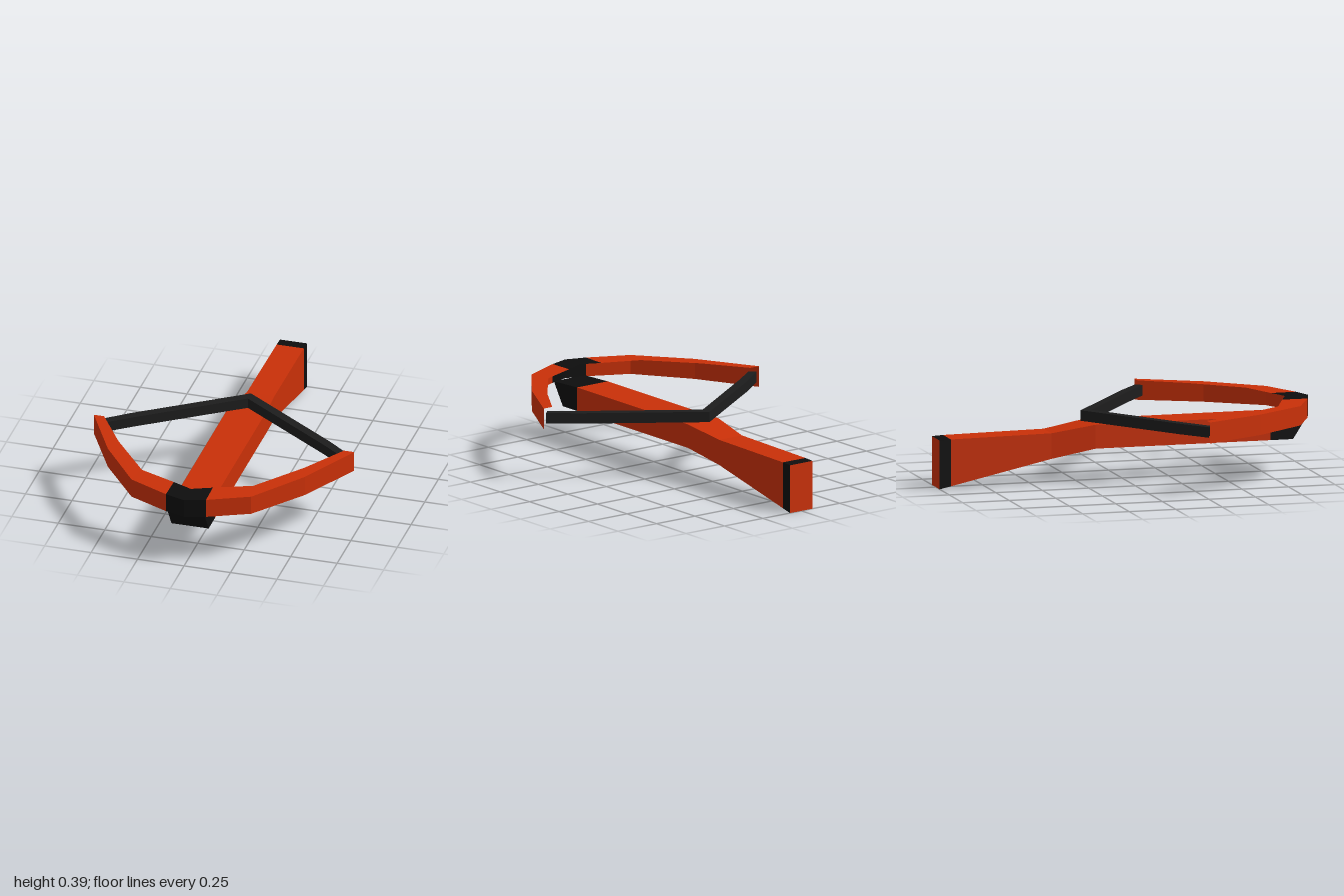
import * as THREE from 'three';

const paint = (color) =>
  new THREE.MeshStandardMaterial({ color, flatShading: true, side: THREE.DoubleSide });

// Joins open cross-sections, each a row of points, with flat quads
function loft(sections) {
  const pos = [];
  for (let i = 0; i < sections.length - 1; i++) {
    const s = sections[i], t = sections[i + 1];
    for (let k = 0; k < s.length - 1; k++) {
      for (const p of [s[k], s[k + 1], t[k + 1], s[k], t[k + 1], t[k]]) pos.push(...p);
    }
  }
  const geo = new THREE.BufferGeometry();
  geo.setAttribute('position', new THREE.Float32BufferAttribute(pos, 3));
  geo.computeVertexNormals();
  return geo;
}

// Stock section: two sides and a top, open underneath, running towards +z
const channel = ([z, w, bottom, top, zBottom = z]) =>
  [[w, bottom, zBottom], [w, top, z], [-w, top, z], [-w, bottom, zBottom]];

// Bow section: a top and an outer wall, running towards +x
const angle = ([x1, z1, x2, z2, bottom, top]) =>
  [[x1, top, z1], [x2, top, z2], [x2, bottom, z2]];

// String section: back, top and front, running towards +x
const gutter = ([x1, z1, x2, z2, bottom, top]) =>
  [[x1, bottom, z1], [x1, top, z1], [x2, top, z2], [x2, bottom, z2]];

// Mirrors a row of bow or string stations to the other side
const mirrored = (row) => row.map(([a, b, c, ...rest]) => [-a, b, -c, ...rest]).reverse();

export function createModel() {
  const group = new THREE.Group();
  const orange = paint(0xc93008), black = paint(0x0e0e0e), grey = paint(0x1d1d1d);
  const add = (name, geo, mat) => {
    const mesh = new THREE.Mesh(geo, mat);
    mesh.name = name;
    group.add(mesh);
  };

  // Stock: straight fore-end, narrowing and dropping to the butt
  const butt = [-1, 0.073, 0, 0.255], band = [-0.94, 0.073, 0.013, 0.258];
  add('stock', loft([
    band,
    [-0.4, 0.074, 0.131, 0.265],
    [-0.17, 0.1, 0.178, 0.303],
    [0.77, 0.1, 0.178, 0.303],
  ].map(channel)), orange);
  add('buttBand', loft([butt, band].map(channel)), black);
  add('buttFace', loft([
    [[0.073, 0, -1], [-0.073, 0, -1]],
    [[0.073, 0.255, -1], [-0.073, 0.255, -1]],
  ]), orange);

  // Nose with a front that slants back towards the bottom
  add('nose', loft([
    [0.77, 0.1, 0.178, 0.303],
    [0.965, 0.1, 0.178, 0.295, 0.89],
  ].map(channel)), black);
  add('noseFront', loft([
    [[-0.1, 0.178, 0.89], [0.1, 0.178, 0.89]],
    [[-0.1, 0.295, 0.965], [0.1, 0.295, 0.965]],
  ]), black);

  // Bow stations: inner x, z, outer x, z, bottom, top
  const joint = [0.105, 0.83, 0.108, 0.965, 0.288, 0.388];
  const centre = [0, 0.875, 0, 1, 0.288, 0.388];
  add('bowCentre', loft([...mirrored([joint]), centre, joint].map(angle)), black);
  const limb = [
    joint,
    [0.3, 0.752, 0.322, 0.866, 0.287, 0.388],
    [0.5, 0.5, 0.53, 0.592, 0.284, 0.391],
    [0.645, 0.27, 0.7, 0.27, 0.282, 0.392],
  ];
  add('leftLimb', loft(limb.map(angle)), orange);
  add('rightLimb', loft(mirrored(limb).map(angle)), orange);

  // Drawn string, bent at the middle, its ends tucked under the limb tips
  const strand = [
    [0.535, 0.152, 0.51, 0.192, 0.31, 0.365],
    [0.685, 0.27, 0.655, 0.3, 0.31, 0.365],
  ];
  const bend = [0, -0.222, 0, -0.165, 0.31, 0.365];
  add('string', loft([...mirrored(strand), bend, ...strand].map(gutter)), grey);

  return group;
}
